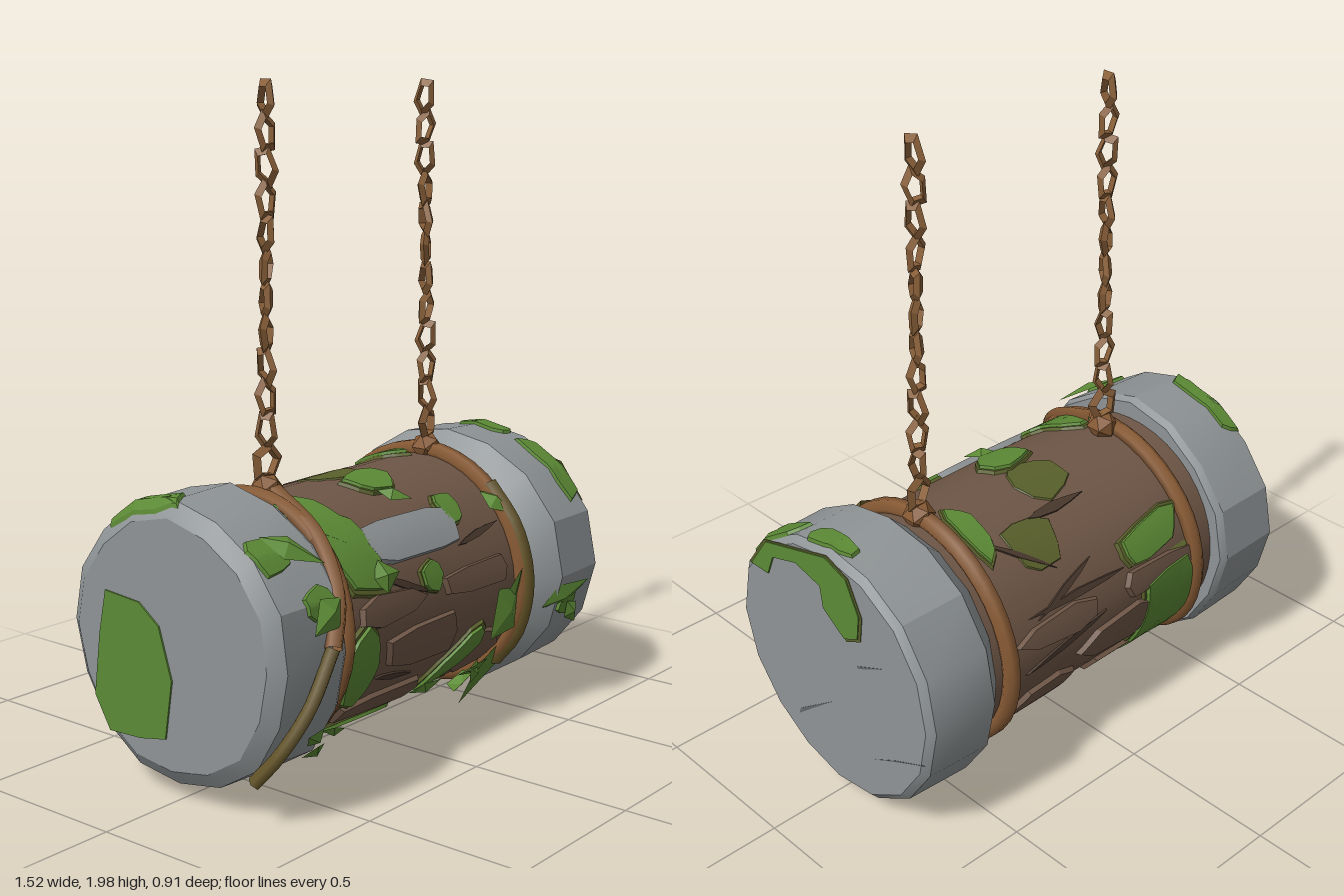
import * as THREE from 'three';
import { toCreasedNormals } from 'three/addons/utils/BufferGeometryUtils.js';

const CY = 0.463; // height of the log's axis
const V = (x, y, z) => new THREE.Vector3(x, y, z);
const rad = THREE.MathUtils.degToRad;
const mat = (name, color) => {
  const m = new THREE.MeshStandardMaterial({ color, side: THREE.DoubleSide });
  m.name = name;
  return m;
};

// Stone ends: rim radius by angle (0 = top, 90 degrees = front) and [x, scale] profile
const LEFT = {
  rim: a => .432 + .013 * Math.cos(2 * (a - 1.4)) + .007 * Math.cos(3 * (a - 1.4)),
  profile: [[.455, .84], [.525, 1], [.735, .98], [.755, .93]],
};
const RIGHT = {
  rim: a => .414 + .006 * Math.cos(5 * a + .6),
  profile: [[-.752, .87], [-.72, .98], [-.5, 1], [-.478, .97]],
};

// Radius of the 16-sided stone at x and angle a
function stoneRadius({ rim, profile }, x, a) {
  const step = Math.PI / 8, i = Math.floor(a / step), f = a / step - i;
  const inv = (Math.sin((1 - f) * step) / rim(i * step) + Math.sin(f * step) / rim((i + 1) * step)) / Math.sin(step);
  let k = 0;
  while (k < profile.length - 2 && x > profile[k + 1][0]) k++;
  const [p, q] = [profile[k], profile[k + 1]];
  return THREE.MathUtils.lerp(p[1], q[1], THREE.MathUtils.clamp((x - p[0]) / (q[0] - p[0]), 0, 1)) / inv;
}
const logRadius = (x, a) => .354 + .012 * Math.sin(a) ** 2 + .004 * Math.sin(3 * a + 5 * x);
const radiusAt = (x, a) => x < -.478 ? stoneRadius(RIGHT, x, a) : x > .47 ? stoneRadius(LEFT, x, a) : logRadius(x, a);
const onSurface = (x, a, lift = 0, fn = radiusAt) => {
  const r = fn(x, a) + lift;
  return V(x, CY + r * Math.cos(a), r * Math.sin(a));
};

function geometryFrom(points, index) {
  const g = new THREE.BufferGeometry().setFromPoints(points);
  g.setIndex(index);
  g.computeVertexNormals();
  return g;
}

// Closed drum from loops along x
function drum(xs, sides, fn) {
  const pts = [], idx = [];
  for (const x of xs) for (let i = 0; i < sides; i++) pts.push(onSurface(x, i / sides * Math.PI * 2, 0, fn));
  const last = (xs.length - 1) * sides;
  pts.push(V(xs[0], CY, 0), V(xs[xs.length - 1], CY, 0));
  for (let i = 0; i < sides; i++) {
    const j = (i + 1) % sides;
    for (let k = 0; k < last; k += sides) idx.push(k + i, k + j, k + sides + i, k + j, k + sides + j, k + sides + i);
    idx.push(last + sides, j, i, last + sides + 1, last + i, last + j);
  }
  return toCreasedNormals(geometryFrom(pts, idx), 0.42);
}

// Irregular outline: power below 1 is boxy, above 1 is pointed
function blob(cx, cy, hx, hy, tilt = 0, { sides = 9, power = .75, wobble = .2 } = {}) {
  const bend = (v) => Math.sign(v) * Math.abs(v) ** power;
  return Array.from({ length: sides }, (_, i) => {
    const t = i / sides * Math.PI * 2;
    const s = 1 + wobble * .6 * Math.sin(i * 2.4 + cx * 37 + cy);
    const u = bend(Math.cos(t)) * s;
    return [cx + hx * u, cy + hy * bend(Math.sin(t)) * s + tilt * u];
  });
}

// Raised patch hugging the surface; outline holds [x, degrees]
function patch(outline, lift, grow = 1) {
  const c = [0, 1].map(k => outline.reduce((s, p) => s + p[k], 0) / outline.length);
  const rim = outline.flatMap((p, i) => {
    const q = outline[(i + 1) % outline.length];
    return [0, .25, .5, .75].map(t => [p[0] + (q[0] - p[0]) * t, p[1] + (q[1] - p[1]) * t]);
  });
  const n = rim.length, idx = [], pts = [onSurface(c[0], rad(c[1]), lift)];
  [[.3, lift], [.6, lift], [.93, lift], [1, -.004]].forEach(([t, h], k) => rim.forEach((p, i) => {
    pts.push(onSurface(c[0] + (p[0] - c[0]) * t * grow, rad(c[1] + (p[1] - c[1]) * t * grow), h));
    const j = (i + 1) % n, a = 1 + k * n;
    if (k === 0) idx.push(0, 1 + i, 1 + j);
    else idx.push(a - n + i, a + i, a + j, a - n + i, a + j, a - n + j);
  }));
  return toCreasedNormals(geometryFrom(pts, idx), 0.4);
}

// Folded pointed leaf from one surface spot towards another, tip lifted
function leaf(x, deg, tipX, tipDeg, width, lift = width * .35) {
  const b = onSurface(x, rad(deg), .012), t = onSurface(tipX, rad(tipDeg), lift);
  const dir = t.clone().sub(b), out = V(0, b.y - CY, b.z).normalize();
  const side = dir.clone().cross(out).normalize().multiplyScalar(width / 2);
  const mid = b.clone().addScaledVector(dir, .4), ridge = mid.clone().addScaledVector(out, .02);
  return toCreasedNormals(geometryFrom([b, mid.clone().add(side), t, mid.clone().sub(side), ridge],
    [0, 1, 4, 1, 2, 4, 2, 3, 4, 3, 0, 4]), 0);
}

export function createModel() {
  const group = new THREE.Group();
  const wood = mat('bark brown', 0x6e5646), crack = mat('dark bark', 0x4a392e);
  const stone = mat('stone grey', 0x8f9496), stoneCrack = mat('dark stone', 0x62676a);
  const moss = mat('moss green', 0x5c8a35), mossEdge = mat('mossy brown', 0x59602b);
  const rope = mat('rope brown', 0x875a34), mossyRope = mat('mossy rope', 0x665628), chainMat = mat('chain brown', 0x8a6039);
  const add = (name, geo, material, parent = group) => {
    const m = new THREE.Mesh(geo, material);
    m.name = name;
    parent.add(m);
    return m;
  };

  // Log and stone ends
  add('log', drum([-.49, -.25, 0, .25, .48], 40, logRadius), wood);
  for (const [name, end] of [['leftStone', LEFT], ['rightStone', RIGHT]])
    add(name, drum(end.profile.map(p => p[0]), 16, (x, a) => stoneRadius(end, x, a)), stone);
  add('stoneInlay', patch(blob(-.05, 52, .222, 11, 1, { sides: 10, power: .5, wobble: .06 }), .018), stone);

  // Bark slabs on front and back: x, degrees, half sizes
  for (const [x, deg, hx, hd] of [[-.23, 80, .16, 7], [.19, 80, .17, 7], [-.07, 102, .18, 11], [-.18, 132, .2, 8], [.23, 120, .12, 13]])
    for (const side of [1, -1])
      add('barkSlab', patch(blob(x, side * deg, hx, hd, 0, { sides: 7, power: .7, wobble: .2 }), .014), wood);

  // Bark cracks: x, degrees, half sizes, tilt
  for (const c of [[.03, -28, .12, 3, 0], [.14, -65, .13, 2, -8], [.24, -41, .1, 2, 14], [-.16, 72, .14, 2, 9],
    [.25, 61, .12, 2, -3], [-.18, 116, .1, 2, 3], [.1, -70, .2, 2, 0], [.17, -91, .17, 2, -6]])
    add('barkCrack', patch(blob(...c, { sides: 8, power: 1.5, wobble: .1 }), .006), crack);

  // Moss on the log, with an olive fringe: x, degrees, half sizes, tilt
  for (const m of [[-.32, 49, .095, 24, 5], [-.365, 104, .07, 20, 0], [0, 15, .085, 11, 0], [-.35, 28, .075, 18, 5], [-.22, -62, .13, 9, -4],
    [.33, -21, .04, 17, 0], [-.03, 73, .045, 7, 0], [.17, 45, .045, 9, 0], [.13, 119, .12, 8, -13], [-.17, 155, .22, 6, 0],
    [-.28, -116, .125, 42, 0], [.31, 172, .08, 12, 0]]) {
    add('moss', patch(blob(...m), .018), moss);
    add('mossFringe', patch(blob(...m), .009, 1.13), mossEdge);
  }
  // Moss on the stone rims
  for (const m of [[.7, 43, .045, 20], [.59, 102, .05, 7], [.705, 4, .038, 14], [-.705, -18, .04, 22], [-.66, 44, .065, 9], [-.57, 68, .055, 7]])
    add('rimMoss', patch(blob(...m), .01), moss);
  // Olive stains on top of the log
  for (const s of [[-.01, -9, .1, 15], [.17, -39, .095, 14]]) add('mossStain', patch(blob(...s), .004), mossEdge);

  // Flat pieces on the round end faces, outlines as [z, y]
  const endPiece = (name, sign, outline, material, depth) => {
    const shape = new THREE.Shape(outline.map(([z, y]) => new THREE.Vector2(-sign * z, y)));
    const m = add(name, new THREE.ExtrudeGeometry(shape, { depth, bevelEnabled: false }), material);
    m.rotation.y = sign * Math.PI / 2;
    m.position.x = sign > 0 ? .754 : -.751;
  };
  const hook = [[.36, .66], [.28, .77], [0, .85], [-.09, .82], [-.14, .72], [-.13, .64], [-.07, .61], [.02, .67], [.03, .74], [.14, .765], [.25, .73], [.28, .66]];
  endPiece('endMoss', 1, hook, moss, .006);
  endPiece('endMossFringe', 1, hook.map(([z, y]) => [.08 + (z - .08) * 1.05, .73 + (y - .73) * 1.06]), mossEdge, .003);
  endPiece('endMoss', -1, blob(-.15, .37, .145, .215), moss, .006);
  for (const c of [[[.18, .2], [.01, .34], [.17, .225]], [[-.18, .24], [-.4, .35], [-.27, .29]], [[-.12, .53], [-.23, .59], [-.12, .54]]])
    endPiece('stoneCrack', 1, c, stoneCrack, .002);

  // Leaves: base x and degrees, tip x and degrees, width, tip lift
  for (const l of [[.38, 92, .2, 108, .17], [.32, 118, .37, 82, .12], [.41, 116, .4, 162, .14, .12], [.38, 142, .2, 128, .11],
    [.3, 130, .27, 138, .09, .06], [.37, 150, .26, 147, .1, .06], [.49, 104, .64, 93, .1], [.58, 102, .65, 113, .07], [.36, 42, .42, 58, .1],
    [-.04, 25, .03, 37, .08], [0, 138, .1, 130, .07], [-.65, 36, -.52, 55, .1], [-.5, 68, -.64, 78, .1], [-.5, 131, -.43, 150, .08, .06],
    [-.34, 148, -.28, 143, .09], [-.3, 66, -.2, 66, .1], [.38, -150, .3, -164, .1], [.35, 180, .25, 172, .09], [-.4, -156, -.33, -169, .09],
    [-.52, 125, -.6, 120, .07]])
    add('leaf', leaf(...l), moss);

  // Rope rings around the log, the right one slanting towards the stone in front
  const ring = (name, xAt, r) => {
    const pts = Array.from({ length: 12 }, (_, i) => onSurface(xAt(i * Math.PI / 6), i * Math.PI / 6, .012, logRadius));
    add(name, new THREE.TubeGeometry(new THREE.CatmullRomCurve3(pts, true), 40, r, 6, true), rope);
  };
  ring('rightRope', a => -.425 + .035 * Math.cos(a) - .03 * Math.sin(a), .026);
  ring('leftRope', a => .407 + .004 * Math.cos(2 * a), .029);

  // Mossy stretch of the left rope and the loose strap over the right stone
  const tube = (name, pts, r, material) =>
    add(name, new THREE.TubeGeometry(new THREE.CatmullRomCurve3(pts), 14, r, 5), material);
  tube('mossyRopeSide', [40, 65, 90, 115, 135].map(d => onSurface(.41, rad(d), .022, logRadius)), .028, mossyRope);
  const strapJoin = V(-.56, .5, .425);
  tube('strapTop', [V(-.37, .84, .05), V(-.42, .75, .25), V(-.49, .62, .38), strapJoin], .026, rope);
  tube('strapEnd', [strapJoin, V(-.64, .35, .41), V(-.7, .23, .36), V(-.73, .14, .29)], .021, mossyRope);

  // Knots and hanging chains of uneven angular links
  for (const [side, x, topX] of [['right', -.35, -.34], ['left', .413, .39]]) {
    add(side + 'Knot', new THREE.IcosahedronGeometry(.05, 0), rope).position.set(x, .84, 0);
    const chain = new THREE.Group();
    chain.name = side + 'Chain';
    group.add(chain);
    for (let i = 0; i < 12; i++) {
      const geo = toCreasedNormals(new THREE.TorusGeometry(.043, .016, 3, 5).rotateZ(Math.PI / 2 + i * Math.PI), 0.2);
      geo.scale(i ? .62 : 1, 1.12, 1);
      const link = add('chainLink', geo, chainMat, chain);
      link.position.set(THREE.MathUtils.lerp(x, topX, i / 11), .915 + i * .093, 0);
      link.rotation.set(0, (i % 2) * Math.PI / 2 + .45 * Math.sin(i * 2.3 + x), .22 * Math.sin(i * 4.1 + x * 3));
    }
  }
  return group;
}
